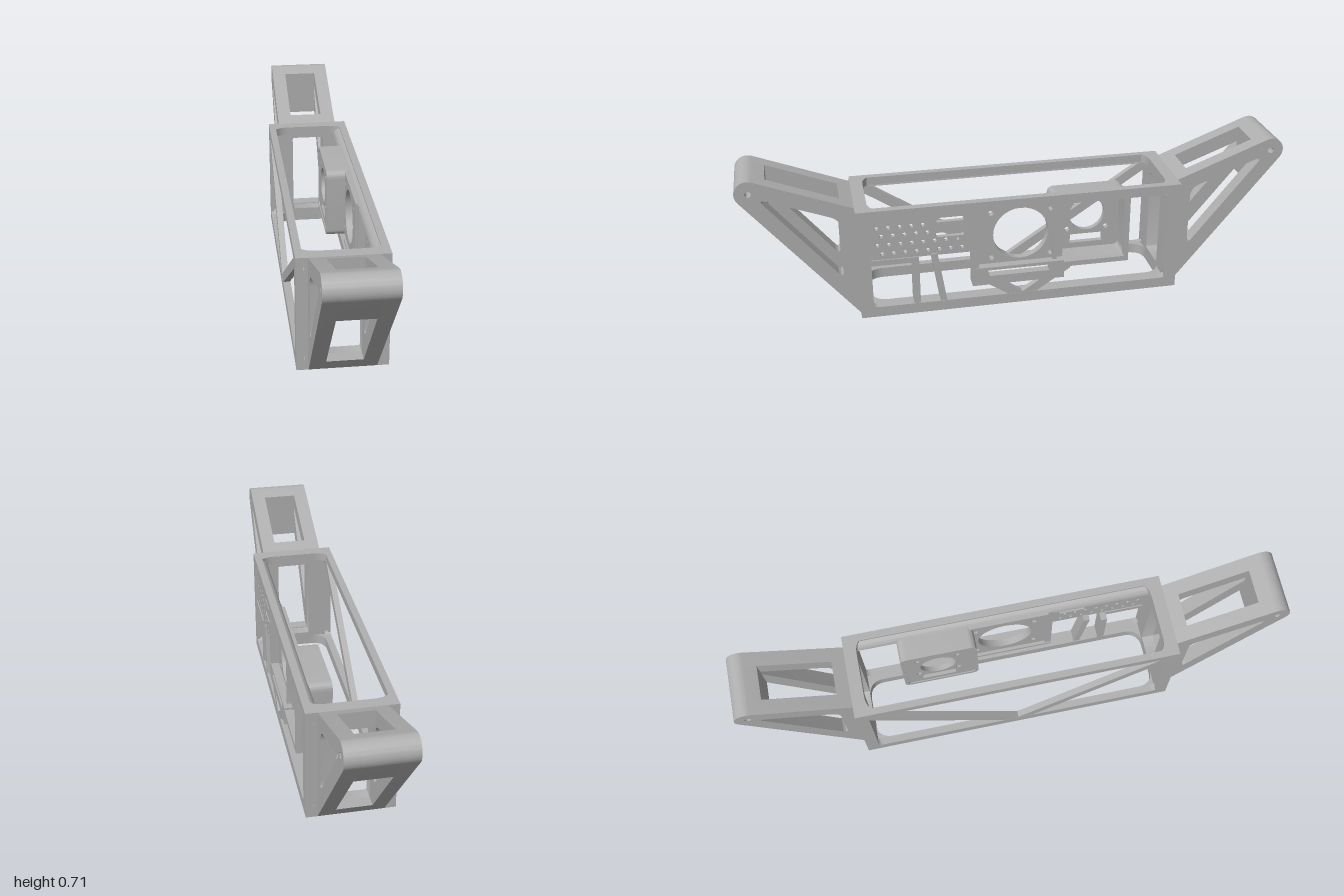
import * as THREE from 'three';
import { toCreasedNormals } from 'three/addons/utils/BufferGeometryUtils.js';

const grey = new THREE.MeshStandardMaterial({ color: 0xb0b0b0 });
grey.name = 'plain grey';

// closed outline with softened corners
function poly(points, r = 0, Type = THREE.Shape) {
  const s = new Type();
  const pts = points.map(p => new THREE.Vector2(...p));
  pts.forEach((p, i) => {
    const a = pts[(i + pts.length - 1) % pts.length], b = pts[(i + 1) % pts.length];
    const p1 = p.clone().add(a.clone().sub(p).setLength(r));
    const p2 = p.clone().add(b.clone().sub(p).setLength(r));
    if (i) s.lineTo(p1.x, p1.y); else s.moveTo(p1.x, p1.y);
    if (r) s.quadraticCurveTo(p.x, p.y, p2.x, p2.y);
  });
  s.closePath();
  return s;
}
const rect = (x0, x1, y0, y1, r = 0, Type) => poly([[x0, y0], [x1, y0], [x1, y1], [x0, y1]], r, Type);
const hole = (x, y, r) => new THREE.Path().absarc(x, y, r, 0, Math.PI * 2, true);

// upright plate spanning z0..z1
function plate(name, shape, z0, z1, holes = []) {
  shape.holes.push(...holes);
  let g = new THREE.ExtrudeGeometry(shape, { depth: z1 - z0, bevelEnabled: false, curveSegments: 16 });
  g = toCreasedNormals(g.translate(0, 0, z0), 0.6);
  const m = new THREE.Mesh(g, grey);
  m.name = name;
  return m;
}

function block(name, x0, x1, y0, y1, z0, z1) {
  const m = new THREE.Mesh(new THREE.BoxGeometry(x1 - x0, y1 - y0, z1 - z0), grey);
  m.position.set((x0 + x1) / 2, (y0 + y1) / 2, (z0 + z1) / 2);
  m.name = name;
  return m;
}

// slanted flat bar between two points
function brace(name, x0, y0, x1, y1, w, z0, z1) {
  const m = block(name, 0, Math.hypot(x1 - x0, y1 - y0), 0, w, z0, z1);
  m.position.set((x0 + x1) / 2, (y0 + y1) / 2, (z0 + z1) / 2);
  m.rotation.z = Math.atan2(y1 - y0, x1 - x0);
  return m;
}

// outline running from a vertical edge at x around the rounded arm tip
function tipOutline(x, yLow, yHigh) {
  const s = new THREE.Shape();
  s.moveTo(x, yHigh);
  s.lineTo(x, yLow);
  s.absarc(1.205, 0.65, 0.06, -0.682, 1.941, false);
  s.closePath();
  return s;
}

// triangular side arm with a rounded tip
function createArm() {
  const arm = new THREE.Group();
  for (const z of [-0.148, 0.08])
    arm.add(plate('armSide', tipOutline(0.755, 0, 0.54), z, z + 0.068, [
      poly([[0.82, 0.19], [0.82, 0.49], [1.17, 0.625]], 0.045, THREE.Path),
      hole(1.205, 0.65, 0.014)]));
  arm.add(plate('armTip', tipOutline(1.13, 0.462, 0.6855), -0.08, 0.08));
  arm.add(plate('armRootTop', poly([[0.755, 0.48], [0.815, 0.48], [0.815, 0.563], [0.755, 0.54]]), -0.08, 0.08));
  arm.add(plate('armRootBottom', poly([[0.755, 0], [0.815, 0.074], [0.755, 0.074]]), -0.08, 0.08));
  return arm;
}

export function createModel() {
  const model = new THREE.Group();
  model.name = 'equipmentFrame';
  const body = new THREE.Group();
  body.name = 'body';
  body.rotation.y = Math.PI / 4;
  model.add(body);

  // arms and open end walls
  for (const side of [0, 1]) {
    const arm = createArm();
    arm.name = side ? 'rightArm' : 'leftArm';
    arm.rotation.y = side * Math.PI;
    body.add(arm);
    const openings = [rect(-0.08, 0.08, 0.07, 0.48, 0.01, THREE.Path)];
    for (const x of [-0.175, 0.175]) for (const y of [0.06, 0.49]) openings.push(hole(x, y, 0.013));
    const wall = plate('endWall', rect(-0.2, 0.2, 0, 0.54), 0.697, 0.755, openings);
    wall.rotation.y = (side ? -1 : 1) * Math.PI / 2;
    body.add(wall);
  }

  // top and bottom rings with rounded openings
  for (const [name, y, h, back, front] of [['bottomRing', 0, 0.05, -0.165, 0.135], ['topRing', 0.5, 0.04, -0.185, 0.185]]) {
    const ring = plate(name, rect(-0.755, 0.755, -0.2, 0.2), 0, h, [rect(-0.697, 0.697, -front, -back, 0.08, THREE.Path)]);
    ring.rotation.x = -Math.PI / 2;
    ring.position.y = y;
    body.add(ring);
  }

  // top rails with a rounded inner side
  for (const [name, s, inner] of [['frontRail', 1, 0.135], ['backRail', -1, 0.172]]) {
    const p = new THREE.Shape();
    p.moveTo(-s * 0.197, 0.492);
    p.lineTo(-s * 0.197, 0.539);
    p.lineTo(-s * 0.19, 0.539);
    p.quadraticCurveTo(-s * (inner + 0.005), 0.53, -s * inner, 0.492);
    p.closePath();
    const rail = plate(name, p, -0.698, 0.698);
    rail.rotation.y = Math.PI / 2;
    body.add(rail);
  }

  // front and back frames
  for (const [name, z0, z1] of [['frontFrame', 0.165, 0.2], ['backFrame', -0.2, -0.168]])
    body.add(plate(name, rect(-0.755, 0.755, 0, 0.54), z0, z1, [rect(-0.705, 0.705, 0.05, 0.502, 0.03, THREE.Path)]));

  // diagonal braces
  for (const s of [-1, 1]) {
    body.add(brace('backBrace', 0, 0.03, s * 0.71, 0.5, 0.045, -0.199, -0.169));
    body.add(brace('frontBrace', 0, 0.03, s * 0.22, 0.175, 0.04, 0.168, 0.199));
  }

  // perforated panel with two slots
  const vents = [];
  [0.45, 0.41, 0.365, 0.32].forEach((y, row) => {
    const n = row < 2 ? 5 : 8;
    for (let i = 0; i < n; i++) vents.push(hole(-0.665 + i * 0.052 + (row % 2) * 0.02, y, 0.009));
  });
  for (const y of [0.38, 0.455]) vents.push(rect(-0.4, -0.27, y, y + 0.022, 0.01, THREE.Path));
  body.add(plate('ventPanel', rect(-0.705, -0.235, 0.29, 0.505), 0.17, 0.192, vents));

  // windows and post below the perforated panel
  body.add(block('windowRail', -0.705, -0.48, 0.265, 0.292, 0.165, 0.198));
  body.add(block('windowPost', -0.51, -0.48, 0.04, 0.29, 0.13, 0.198));
  body.add(brace('slantedPost', -0.41, 0.3, -0.37, 0.04, 0.03, 0.14, 0.198));

  // large round opening, its surround and lower tray
  const screws = [];
  for (const x of [-0.14, 0.14]) for (const y of [0.23, 0.46]) screws.push(hole(x, y, 0.013));
  body.add(plate('fanPlate', rect(-0.21, 0.2, 0.18, 0.51), 0.125, 0.16, [hole(0, 0.345, 0.13), ...screws]));
  body.add(block('fanLeftPost', -0.235, -0.205, 0.11, 0.51, 0.135, 0.198));
  body.add(plate('tray', rect(-0.235, 0.2, 0.11, 0.2), 0.16, 0.2, [rect(-0.16, 0.13, 0.155, 0.185, 0, THREE.Path)]));
  body.add(block('trayFloor', -0.235, 0.2, 0.11, 0.125, 0.13, 0.198));

  // recessed housing with small round opening
  body.add(plate('housingShell', rect(0.15, 0.512, 0.17, 0.512, 0.035), 0.035, 0.18,
    [rect(0.167, 0.497, 0.187, 0.497, 0.025, THREE.Path)]));
  const small = [];
  for (const x of [0.245, 0.435]) for (const y of [0.29, 0.45]) small.push(hole(x, y, 0.012));
  body.add(plate('housingBack', rect(0.155, 0.508, 0.175, 0.508, 0.03), 0.04, 0.065,
    [hole(0.34, 0.365, 0.085), rect(0.26, 0.42, 0.215, 0.26, 0, THREE.Path), ...small]));
  body.add(block('housingSill', 0.18, 0.512, 0.165, 0.19, 0.165, 0.199));
  body.add(block('housingPost', 0.492, 0.512, 0.165, 0.51, 0.165, 0.199));

  return model;
}
